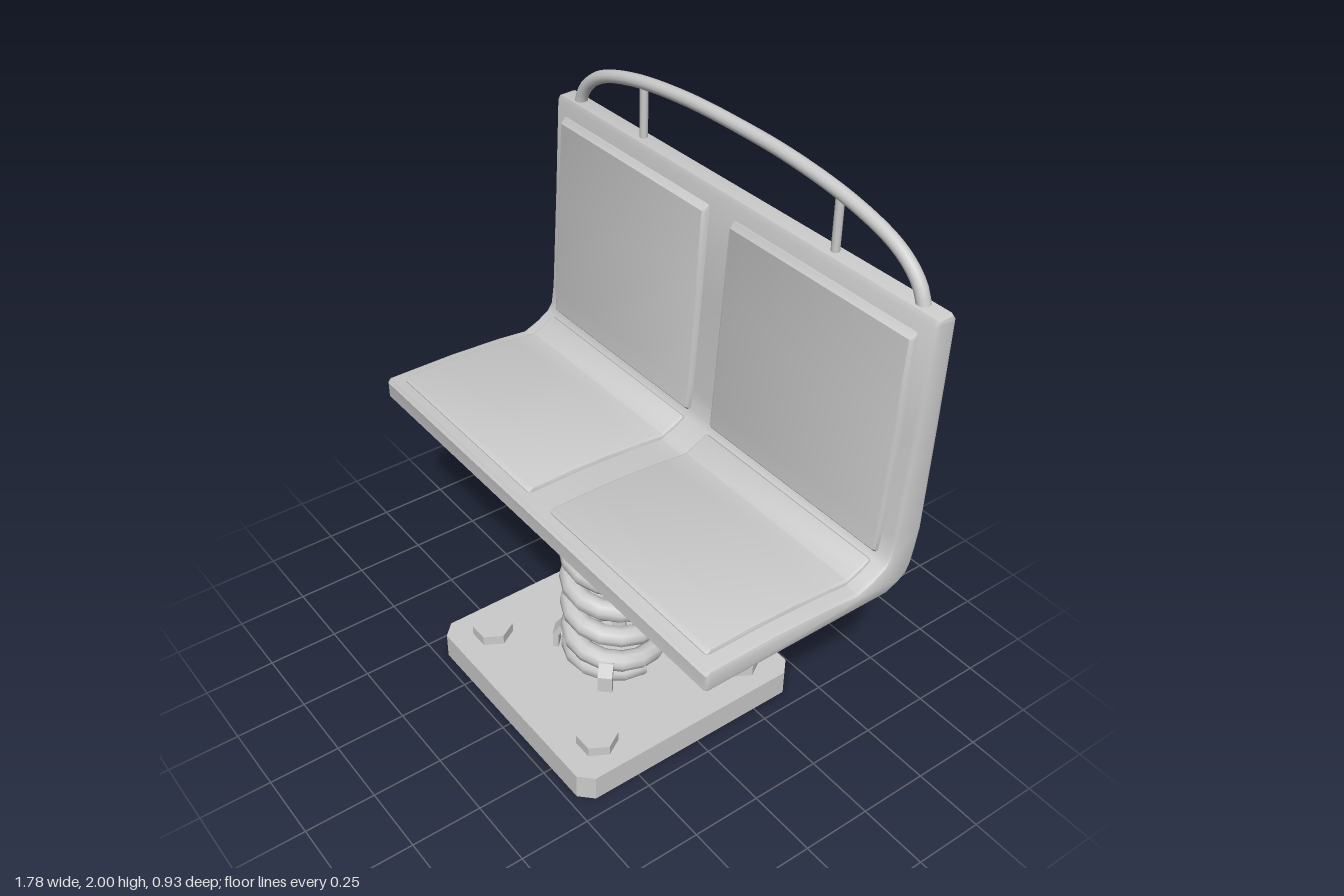
import * as THREE from 'three';
import { toCreasedNormals } from 'three/addons/utils/BufferGeometryUtils.js';

const CX = -0.007, CZ = 0.02; // axis of the spring and its plates

export function createModel() {
  const model = new THREE.Group();
  model.name = 'springBench';
  const mat = new THREE.MeshStandardMaterial({ color: 0xcccccc });
  const sheet = new THREE.MeshStandardMaterial({ color: 0xcccccc, side: THREE.DoubleSide });

  const add = (name, geometry, parent = model, material = mat) => {
    const mesh = new THREE.Mesh(geometry, material);
    mesh.name = name;
    parent.add(mesh);
    return mesh;
  };
  const toShape = (pts) => new THREE.Shape(pts.map(([x, y]) => new THREE.Vector2(x, y)));

  // Sideways extrusion of a (z, y) profile, with bevelled ends, centred on x
  const extrudeAcross = (pts, width, bevel) => {
    const g = new THREE.ExtrudeGeometry(toShape(pts), {
      depth: width - 2 * bevel, bevelThickness: bevel, bevelSize: bevel,
      bevelOffset: -bevel, bevelSegments: 2,
    });
    g.translate(0, 0, bevel - width / 2).rotateY(-Math.PI / 2);
    return toCreasedNormals(g, 0.6);
  };

  // Square outline with cut corners
  const cutSquare = (h, c) => [
    [h, c - h], [h, h - c], [h - c, h], [c - h, h],
    [-h, h - c], [-h, c - h], [c - h, -h], [h - c, -h],
  ];
  const plate = (shape, depth, y) => {
    const g = new THREE.ExtrudeGeometry(shape, { depth, bevelEnabled: false });
    return g.rotateX(-Math.PI / 2).translate(CX, y, CZ);
  };

  // Base: a folded plate, open underneath
  const base = new THREE.Group();
  base.name = 'base';
  model.add(base);
  const rim = toShape(cutSquare(0.448, 0.045));
  rim.holes.push(new THREE.Path(cutSquare(0.44, 0.042).reverse().map(([x, y]) => new THREE.Vector2(x, y))));
  add('baseRim', plate(rim, 0.087, 0), base);
  add('baseTop', plate(toShape(cutSquare(0.448, 0.045)), 0.01, 0.086), base);

  // Hexagonal bolts
  for (const sx of [-1, 1]) for (const sz of [-1, 1]) {
    const g = new THREE.CylinderGeometry(0.071, 0.071, 0.05, 6).toNonIndexed();
    g.computeVertexNormals();
    g.rotateY(Math.PI / 2);
    add('bolt', g, base).position.set(CX + sx * 0.32, 0.108, CZ + sz * 0.305);
  }

  // Mounting plate under the seat
  add('mountPlate', plate(toShape(cutSquare(0.235, 0.03)), 0.045, 0.782));

  // Coil spring, flat at both ends
  class Coil extends THREE.Curve {
    getPoint(t, out = new THREE.Vector3()) {
      const turn = t * 6.7;
      const rise = THREE.MathUtils.clamp((turn - 0.7) / 5.2, 0, 1);
      const a = turn * Math.PI * 2;
      return out.set(CX + 0.153 * Math.cos(a), 0.137 + 0.6 * rise, CZ + 0.153 * Math.sin(a));
    }
  }
  const coil = new Coil();
  add('spring', new THREE.TubeGeometry(coil, 100, 0.037, 10));
  for (const [t, s] of [[0, -1], [1, 1]]) {
    const cap = add('springEnd', new THREE.CircleGeometry(0.037, 10), model, sheet);
    cap.position.copy(coil.getPointAt(t));
    cap.quaternion.setFromUnitVectors(new THREE.Vector3(0, 0, 1), coil.getTangentAt(t).multiplyScalar(s));
  }

  // Arched clamps holding the first and last coil
  const arch = toShape([
    [-0.062, -0.012], [-0.042, -0.012], [-0.042, 0.055], [-0.022, 0.084], [0.022, 0.084], [0.042, 0.055],
    [0.042, -0.012], [0.062, -0.012], [0.062, 0.065], [0.032, 0.106], [-0.032, 0.106], [-0.062, 0.065],
  ].reverse());
  const clampGeo = new THREE.ExtrudeGeometry(arch, { depth: 0.05, bevelEnabled: false });
  clampGeo.translate(0.155, 0, -0.025);
  for (const top of [false, true]) for (let i = 0; i < 4; i++) {
    const clamp = add(top ? 'upperClamp' : 'lowerClamp', clampGeo);
    clamp.position.set(CX, top ? 0.785 : 0.095, CZ);
    clamp.rotation.set(top ? Math.PI : 0, Math.PI / 4 + i * Math.PI / 2, 0);
  }

  // Seat and backrest in one bent shell
  const shell = extrudeAcross([
    [0.352, 0.825], [0.36, 0.833], [0.36, 0.888], [0.348, 0.902], [0.1, 0.902], [-0.1, 0.893], [-0.215, 0.882],
    [-0.27, 0.905], [-0.315, 0.932], [-0.333, 0.96], [-0.343, 1.03], [-0.366, 1.4], [-0.385, 1.745],
    [-0.395, 1.763], [-0.452, 1.765], [-0.463, 1.75], [-0.457, 1.4], [-0.447, 1.03],
    [-0.437, 0.96], [-0.425, 0.9], [-0.41, 0.865], [-0.38, 0.845], [-0.335, 0.825],
  ].reverse(), 1.78, 0.014);
  add('seatShell', shell);

  // Raised panels, one pair per place
  const seatPanel = extrudeAcross([
    [0.315, 0.885], [0.315, 0.906], [0.3, 0.918], [0.15, 0.92], [0, 0.915], [-0.12, 0.905], [-0.222, 0.895],
    [-0.275, 0.92], [-0.304, 0.937], [-0.318, 0.928], [-0.31, 0.9], [-0.222, 0.86], [0, 0.87],
  ].reverse(), 0.78, 0.012);
  const backPanel = extrudeAcross([
    [-0.365, 0.95], [-0.328, 0.95], [-0.318, 0.963], [-0.323, 1.04], [-0.345, 1.4],
    [-0.36, 1.685], [-0.375, 1.703], [-0.41, 1.703], [-0.39, 1.3],
  ], 0.78, 0.012);
  for (const side of [-1, 1]) {
    add('seatPanel', seatPanel).position.x = side * 0.447 - 0.003;
    add('backPanel', backPanel).position.x = side * 0.447 - 0.003;
  }

  // Bowed handrail with two posts
  const half = [[0.805, 1.75], [0.785, 1.8], [0.745, 1.846], [0.67, 1.892], [0.5, 1.94], [0.25, 1.971]];
  const path = [
    ...half.map(([x, y]) => [-x, y]), [0, 1.978], ...half.slice().reverse(),
  ].map(([x, y]) => new THREE.Vector3(x - 0.004, y, -0.427));
  add('handrail', new THREE.TubeGeometry(new THREE.CatmullRomCurve3(path), 64, 0.022, 12));
  for (const side of [-1, 1]) {
    add('railPost', new THREE.CylinderGeometry(0.014, 0.014, 0.2, 10))
      .position.set(side * 0.452 - 0.004, 1.85, -0.427);
  }

  return model;
}
